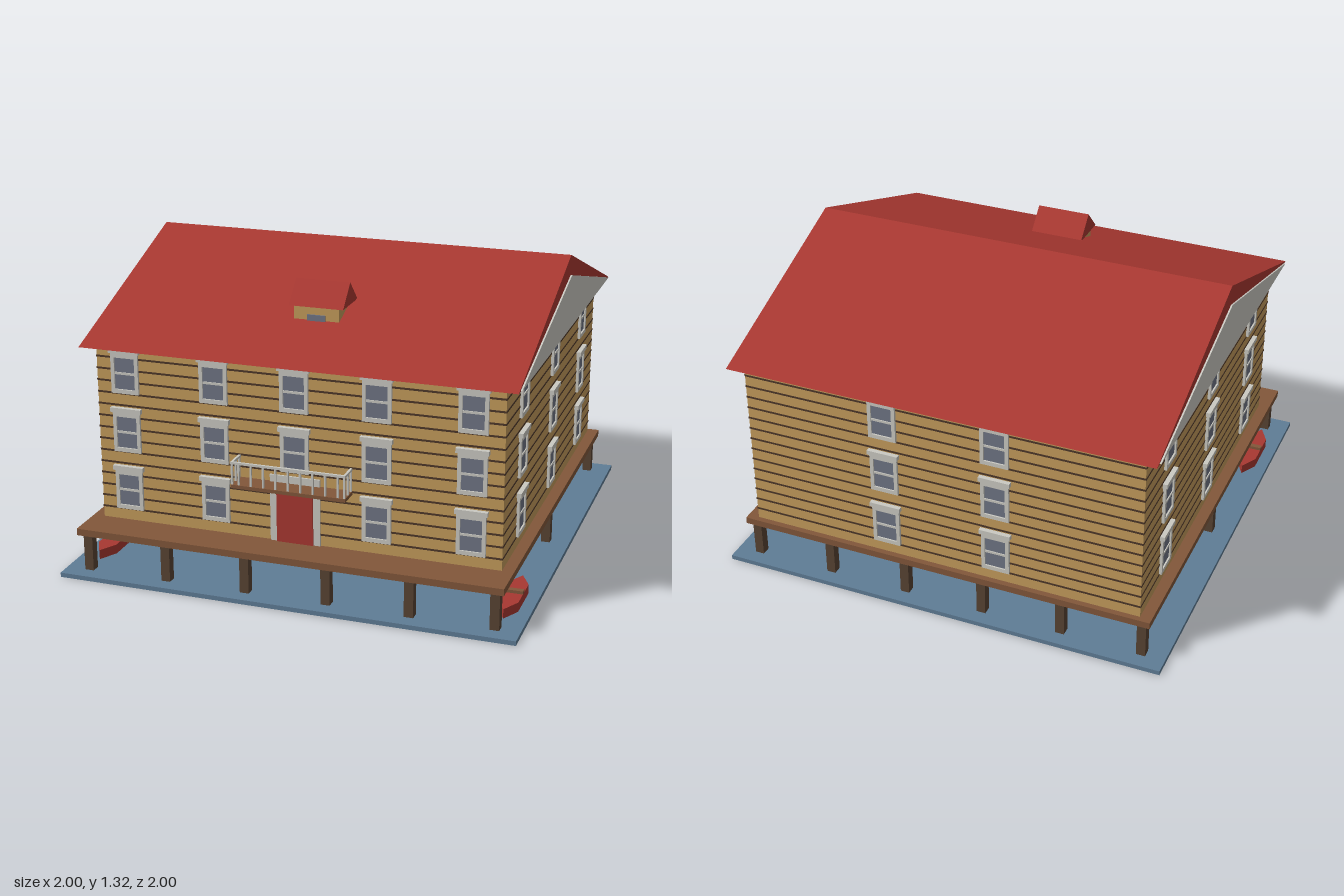
import * as THREE from 'three';

const mat = (name, color) => {
  const m = new THREE.MeshStandardMaterial({ color });
  m.name = name;
  return m;
};

export function createModel() {
  const M = {
    red: mat('roof red', 0xa83831),
    tan: mat('wall tan', 0xc49b5b),
    trim: mat('trim pale grey', 0xcac9c2),
    glass: mat('window glass', 0x6f7584),
    water: mat('water blue', 0x5f7d96),
    deck: mat('deck brown', 0x82573a),
    post: mat('post brown', 0x584333),
    groove: mat('groove dark brown', 0x4c3728),
  };
  const model = new THREE.Group();
  model.name = 'lakeHouse';
  const CZ = -0.07;                       // centre of the house in z

  const add = (parent, name, geo, material, x = 0, y = 0, z = 0) => {
    const mesh = new THREE.Mesh(geo, material);
    mesh.name = name;
    mesh.position.set(x, y, z);
    parent.add(mesh);
    return mesh;
  };
  // box given by its min and max corners
  const box = (parent, name, material, x0, x1, y0, y1, z0, z1) =>
    add(parent, name, new THREE.BoxGeometry(x1 - x0, y1 - y0, z1 - z0), material,
      (x0 + x1) / 2, (y0 + y1) / 2, (z0 + z1) / 2);
  // triangular prism running along x, profile centred on z = 0
  const prism = (halfZ, height, length) => {
    const s = new THREE.Shape();
    s.moveTo(-halfZ, 0); s.lineTo(halfZ, 0); s.lineTo(0, height); s.closePath();
    return new THREE.ExtrudeGeometry(s, { depth: length, bevelEnabled: false })
      .translate(0, 0, -length / 2).rotateY(-Math.PI / 2);
  };

  // water, deck and stilts
  box(model, 'water', M.water, -1, 1, 0, 0.02, -1, 1);
  box(model, 'deck', M.deck, -0.935, 0.935, 0.185, 0.215, -0.955, 0.955);
  const stilts = new THREE.Group();
  stilts.name = 'stilts';
  model.add(stilts);
  for (let i = 0; i < 6; i++)
    for (const z of [-0.915, 0, 0.915]) {
      const x = -0.895 + i * 0.358;
      box(stilts, 'stilt', M.post, x - 0.02, x + 0.02, 0.02, 0.185, z - 0.02, z + 0.02);
    }

  // walls with dark joints between the planks
  const W = 0.885, D = 0.86;
  box(model, 'walls', M.tan, -W, W, 0.215, 0.995, CZ - D, CZ + D);
  const joints = new THREE.Group();
  joints.name = 'plankJoints';
  model.add(joints);
  for (let i = 1; i < 15; i++) {
    const y = 0.213 + i * 0.0523, e = 0.002;
    box(joints, 'plankJoint', M.groove, -W - e, W + e, y - 0.004, y + 0.004, CZ - D - e, CZ + D + e);
  }

  // main roof with a pale panel on each gable
  add(model, 'roof', prism(0.91, 0.33, 1.885), M.red, 0, 0.99, CZ);
  for (const s of [-1, 1])
    add(model, 'gablePanel', prism(0.88, 0.237, 0.007), M.trim, s * 0.946, 0.994, CZ);

  // window, origin at the bottom centre, facing +z
  const outline = new THREE.Shape();
  outline.moveTo(-0.062, 0); outline.lineTo(0.062, 0);
  outline.lineTo(0.062, 0.18); outline.lineTo(-0.062, 0.18); outline.closePath();
  const opening = new THREE.Path();
  opening.moveTo(-0.046, 0.018); opening.lineTo(-0.046, 0.157);
  opening.lineTo(0.046, 0.157); opening.lineTo(0.046, 0.018); opening.closePath();
  outline.holes.push(opening);
  const frameGeo = new THREE.ExtrudeGeometry(outline, { depth: 0.012, bevelEnabled: false });
  const makeWindow = (x, y, z, turn) => {
    const g = new THREE.Group();
    g.name = 'window';
    add(g, 'windowFrame', frameGeo, M.trim);
    box(g, 'windowGlass', M.glass, -0.046, 0.046, 0.018, 0.157, 0, 0.005);
    box(g, 'sashBar', M.trim, -0.046, 0.046, 0.083, 0.093, 0, 0.009);
    box(g, 'windowHeader', M.trim, -0.069, 0.069, 0.178, 0.198, 0, 0.02);
    g.position.set(x, y, z);
    g.rotation.y = turn;
    model.add(g);
  };
  for (let row = 0; row < 3; row++) {
    const y = 0.267 + row * 0.262;
    for (const x of [-0.755, -0.355, 0, 0.355, 0.755])
      if (x !== 0 || row > 0) makeWindow(x, y, CZ + D, 0);
    for (const x of [-0.25, 0.25]) makeWindow(x, y, CZ - D, Math.PI);
    for (const z of [0.5, -0.07, -0.64])
      for (const s of [-1, 1]) makeWindow(s * W, y, z, s * Math.PI / 2);
  }

  // front door
  box(model, 'doorFrame', M.trim, -0.11, 0.11, 0.215, 0.51, 0.785, 0.798);
  box(model, 'door', M.red, -0.08, 0.08, 0.215, 0.46, 0.79, 0.804);

  // balcony with railing
  const balcony = new THREE.Group();
  balcony.name = 'balcony';
  model.add(balcony);
  box(balcony, 'balconyFloor', M.deck, -0.25, 0.25, 0.464, 0.479, 0.79, 0.885);
  box(balcony, 'frontRail', M.trim, -0.25, 0.25, 0.569, 0.579, 0.873, 0.883);
  const baluster = (x, z) =>
    box(balcony, 'baluster', M.trim, x - 0.004, x + 0.004, 0.479, 0.57, z - 0.004, z + 0.004);
  for (let i = -4; i <= 4; i++) baluster(i * 0.054, 0.878);
  for (const s of [-1, 1]) {
    const x = s * 0.245;
    box(balcony, 'sideRail', M.trim, x - 0.005, x + 0.005, 0.569, 0.579, 0.79, 0.873);
    for (const z of [0.8, 0.838, 0.878]) baluster(x, z);
  }

  // small roof dormer
  const dormer = new THREE.Group();
  dormer.name = 'dormer';
  model.add(dormer);
  box(dormer, 'dormerWalls', M.tan, -0.1, 0.1, 1.08, 1.168, 0.35, 0.52);
  add(dormer, 'dormerRoof', prism(0.093, 0.095, 0.24), M.red, 0, 1.163, 0.435);
  box(dormer, 'dormerWindow', M.glass, -0.04, 0.04, 1.085, 1.13, 0.518, 0.526);

  // rowing boats, one on each side
  const hull = new THREE.Shape();
  [[0, -0.17], [0.043, -0.09], [0.043, 0.09], [0, 0.17], [-0.043, 0.09], [-0.043, -0.09]]
    .forEach(([x, z], i) => (i ? hull.lineTo(x, z) : hull.moveTo(x, z)));
  hull.closePath();
  const hullGeo = new THREE.ExtrudeGeometry(hull, { depth: 0.042, bevelEnabled: false })
    .rotateX(-Math.PI / 2);
  for (const s of [-1, 1]) {
    const boat = new THREE.Group();
    boat.name = 'boat';
    add(boat, 'hull', hullGeo, M.red);
    box(boat, 'boatSeat', M.deck, -0.043, 0.043, 0.04, 0.055, -0.012, 0.012);
    boat.position.set(s * 0.903, 0.02, 0.652);
    model.add(boat);
  }
  return model;
}
